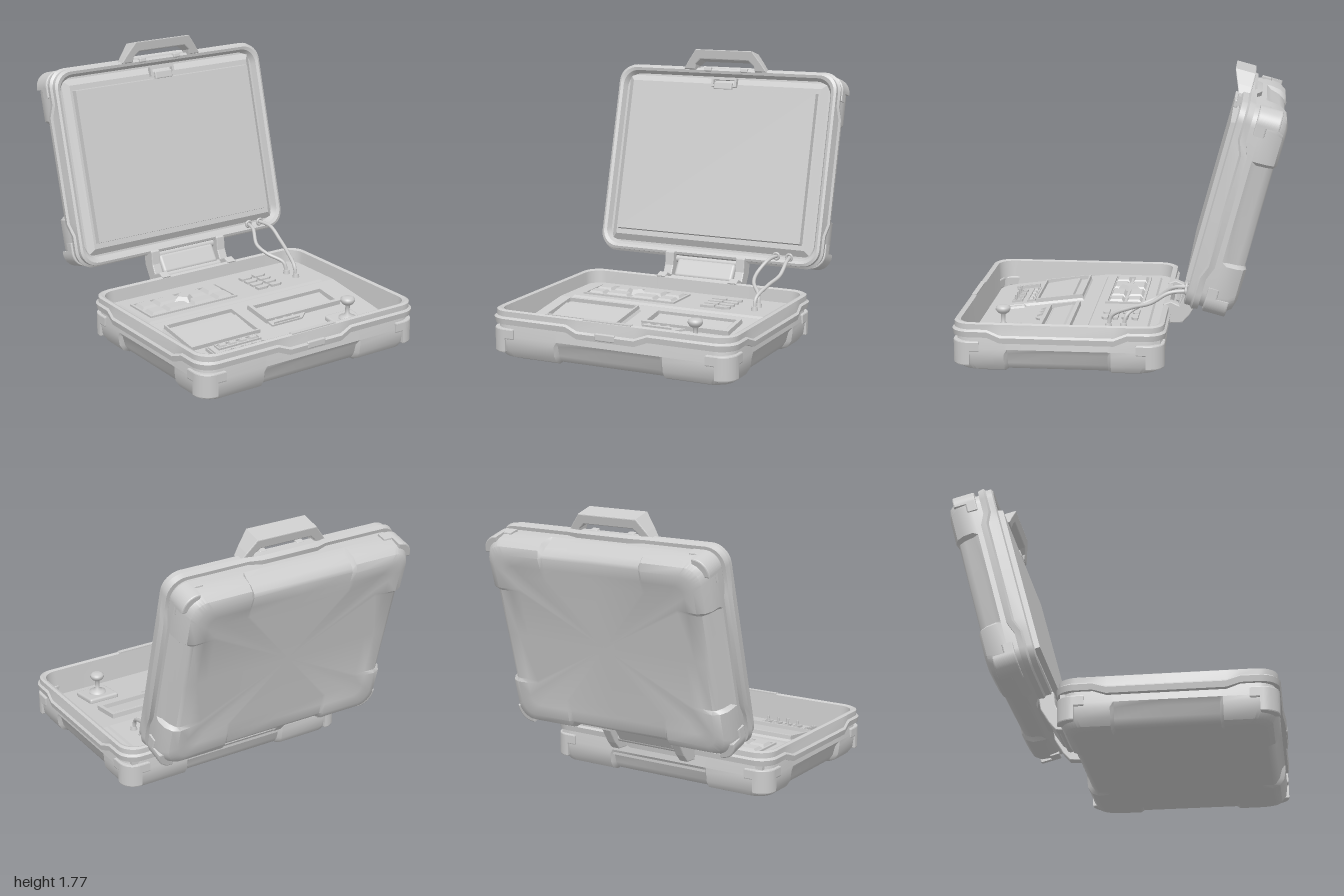
import * as THREE from 'three';
import { toCreasedNormals } from 'three/addons/utils/BufferGeometryUtils.js';
import { RoundedBoxGeometry } from 'three/addons/geometries/RoundedBoxGeometry.js';

const grey = new THREE.MeshStandardMaterial({ color: 0xcccccc, side: THREE.DoubleSide });

function add(parent, name, geo, x = 0, y = 0, z = 0) {
  const m = new THREE.Mesh(geo, grey);
  m.name = name;
  m.position.set(x, y, z);
  parent.add(m);
  return m;
}

// Rounded rectangle whose side middles may step inward (cut) or shift in height (lift)
function ring(hx, hz, r, y, cut, lift, mx, mz, step) {
  const q = [[hx - cut, 0, lift], [hx - cut, mz, lift], [hx, mz + step, 0]];
  for (let i = 0; i <= 8; i++) {
    const a = (i / 8) * Math.PI / 2;
    q.push([hx - r + r * Math.cos(a), hz - r + r * Math.sin(a), 0]);
  }
  q.push([mx + step, hz, 0], [mx, hz - cut, lift], [0, hz - cut, lift]);
  const out = [];
  [[1, 1], [-1, 1], [-1, -1], [1, -1]].forEach(([sx, sz]) => {
    const pts = sx * sz > 0 ? q : [...q].reverse();
    pts.slice(0, -1).forEach(([x, z, l]) => out.push([sx * x, y + l, sz * z]));
  });
  return out;
}

// Skin over rings, closed at the first ring (bottom) or at the last (floor)
function loft(rings, closeFirst) {
  const n = rings[0].length, pos = rings.flat(2), idx = [];
  for (let i = 0; i < rings.length - 1; i++) {
    for (let j = 0; j < n; j++) {
      const a = i * n + j, b = i * n + (j + 1) % n;
      idx.push(a, a + n, b, b, a + n, b + n);
    }
  }
  const c = rings.length * n, last = c - n;
  pos.push(0, (closeFirst ? rings[0] : rings.at(-1))[0][1], 0);
  for (let j = 0; j < n; j++) {
    const k = (j + 1) % n;
    if (closeFirst) idx.push(c, j, k);
    else idx.push(c, last + k, last + j);
  }
  const g = new THREE.BufferGeometry();
  g.setAttribute('position', new THREE.Float32BufferAttribute(pos, 3));
  g.setIndex(idx);
  return toCreasedNormals(g, 0.6);
}

// Box standing on y = 0 with a smaller top
function pad(w, h, d, taper = 0.01) {
  const g = new THREE.BoxGeometry(w, h, d).translate(0, h / 2, 0), p = g.attributes.position;
  for (let i = 0; i < p.count; i++) {
    if (p.getY(i) > h / 2) {
      p.setX(i, p.getX(i) - Math.sign(p.getX(i)) * taper);
      p.setZ(i, p.getZ(i) - Math.sign(p.getZ(i)) * taper);
    }
  }
  g.computeVertexNormals();
  return g;
}

const poly = (pts) => new THREE.Shape(pts.map(([x, y]) => new THREE.Vector2(x, y)));

// Flat outline in x and z, standing on y = 0
function slab(shape, h, bevel = 0) {
  return new THREE.ExtrudeGeometry(shape, {
    depth: h, bevelEnabled: bevel > 0, bevelSize: bevel, bevelThickness: bevel, bevelSegments: 2,
  }).rotateX(Math.PI / 2).translate(0, h, 0);
}

function frame(w, d, t, h) {
  const rect = (a, b) => [[-a, -b], [a, -b], [a, b], [-a, b]];
  const s = poly(rect(w / 2, d / 2));
  s.holes.push(poly(rect(w / 2 - t, d / 2 - t)));
  return slab(s, h);
}

// Half of the case: moulded shell, stepped rim with inner floor, and corner guards
function caseHalf(name, HX, HZ, rimY, floorY) {
  const g = new THREE.Group();
  g.name = name;
  const build = (rows, closeFirst, ...middle) => loft(rows.map(([inset, y, cut, lift]) =>
    ring(HX - inset, HZ - inset, Math.max(0.11 - inset * 0.3, 0.04), y, cut, lift, ...middle)), closeFirst);
  add(g, 'shell', build([
    [0.22, 0.018, 0, 0], [0.15, 0.006, 0, 0.01], [0.08, 0, 0, 0.014], [0.035, 0.018, 0.025, 0.005],
    [0.008, 0.06, 0.028, 0], [0, 0.12, 0.02, 0], [0, 0.15, 0, 0], [0.012, rimY + 0.01, 0, 0],
  ], true, 0.34, 0.3, 0.02));
  add(g, 'rim', build([
    [0.03, 0, -0.012, -0.03], [-0.012, 0, -0.012, -0.03], [-0.018, 0.035, -0.012, -0.03],
    [-0.005, 0.047, -0.012, -0.03], [-0.005, 0.08, 0, 0], [0.01, 0.088, 0, 0],
    [0.028, 0.08, 0, 0], [0.045, floorY - rimY, 0, 0],
  ].map(([i, y, c, l]) => [i, y + rimY, c, l]), false, 0.19, 0.34, 0.08));
  const X = HX + 0.002, Z = HZ + 0.002, r = 0.09;
  const guard = (L, h) => {
    const s = new THREE.Shape();
    s.moveTo(X - L, Z - 0.035);
    s.lineTo(X - L, Z);
    s.lineTo(X - r, Z);
    s.absarc(X - r, Z - r, r, Math.PI / 2, 0, true);
    s.lineTo(X, Z - L);
    s.lineTo(X - 0.035, Z - L);
    s.lineTo(X - 0.06, Z - 0.06);
    return slab(s, h, 0.008);
  };
  for (const sx of [1, -1]) for (const sz of [1, -1]) {
    const c = new THREE.Group();
    c.name = 'cornerGuard';
    c.scale.set(sx, 1, sz);
    add(c, 'guardBar', guard(0.15, 0.05), 0, rimY - 0.085);
    add(c, 'guardLeg', guard(0.092, rimY - 0.13), 0, 0.055);
    g.add(c);
  }
  return g;
}

// Level rear deck: raised keypad panel with keys, diamond and slanted vents
function rearDeck(g) {
  const K = 0.238;
  add(g, 'deck', pad(1.5, 0.11, 0.47, 0), 0, 0.115, -0.035);
  add(g, 'keypadPanel', pad(1.34, 0.015, 0.38, 0.012), 0, 0.223, 0.005);
  add(g, 'keypadFrame', frame(0.65, 0.25, 0.015, 0.012), -0.295, K, 0.01);
  for (const z of [-0.047, 0.067]) {
    for (const [x, w] of [[-0.54, 0.115], [-0.39, 0.165], [-0.205, 0.165], [-0.05, 0.115]]) {
      add(g, 'key', pad(w, 0.02, 0.1, 0.015), x, K, z);
    }
  }
  add(g, 'diamondKey', pad(0.1, 0.03, 0.1, 0.02), -0.3, K + 0.012, 0.01).rotation.y = Math.PI / 4;
  for (let r = 0; r < 4; r++) for (const x of [0.25, 0.355]) {
    const s = poly([[-0.045, -0.02], [0.045, -0.02], [0.045, 0.005], [0.02, 0.02], [-0.045, 0.02]]);
    add(g, 'ventSlat', slab(s, 0.015), x, K, -0.085 + r * 0.062);
  }
}

// Front panel, level here and tilted by its parent
function frontPanel(g) {
  add(g, 'panelPlate', pad(1.5, 0.03, 0.73, 0), 0, -0.03, 0.565);
  // Left instrument with display, buttons and switches
  add(g, 'instrumentPlate', pad(0.52, 0.015, 0.5), -0.38, 0, 0.54);
  add(g, 'displayFrame', frame(0.5, 0.31, 0.012, 0.025), -0.38, 0.015, 0.45);
  add(g, 'display', pad(0.47, 0.02, 0.24, 0.005), -0.38, 0.004, 0.48).rotation.x = 0.06;
  add(g, 'sidePlate', pad(0.16, 0.012, 0.14), -0.165, 0, 0.74);
  add(g, 'buttonFrame', frame(0.31, 0.055, 0.008, 0.012), -0.325, 0.015, 0.645);
  for (let i = 0; i < 4; i++) {
    const x = -0.435 + i * 0.074;
    add(g, 'button', pad(0.055, 0.018, 0.032, 0.006), x, 0.015, 0.645);
    add(g, 'switchFrame', frame(0.045, 0.07, 0.008, 0.014), x, 0.015, 0.74);
    add(g, 'switchLever', new THREE.CylinderGeometry(0.009, 0.006, 0.05, 10), x, 0.035, 0.745);
  }
  add(g, 'cardSlot', frame(0.025, 0.16, 0.007, 0.02), -0.54, 0.015, 0.715);
  // Right display with angled strip below
  add(g, 'rightDisplayFrame', frame(0.58, 0.21, 0.025, 0.03), 0.28, 0, 0.4);
  add(g, 'rightDisplay', pad(0.53, 0.02, 0.16, 0.02), 0.28, -0.004, 0.4).rotation.x = 0.08;
  add(g, 'angledStrip', slab(poly([[0, 0], [0.29, 0], [0.23, 0.05], [0, 0.05]]), 0.012), 0, 0, 0.505);
  for (let i = 0; i < 3; i++) {
    add(g, 'triangleKey', slab(poly([[0, 0.038], [0.07, 0.038], [0.035, 0]]), 0.012), 0.015 + i * 0.065, 0.012, 0.51);
  }
  // Joystick
  add(g, 'joystickPlate', new RoundedBoxGeometry(0.21, 0.04, 0.21, 2, 0.015), 0.455, 0.01, 0.725);
  const stick = [[0.055, 0], [0.055, 0.015], [0.035, 0.022], [0.014, 0.04], [0.014, 0.09], [0.036, 0.105],
    [0.046, 0.122], [0.044, 0.137], [0.03, 0.146], [0, 0.148]].map(([x, y]) => new THREE.Vector2(x, y));
  add(g, 'joystick', new THREE.LatheGeometry(stick, 28), 0.455, 0.027, 0.72).rotation.x = -0.13;
}

export function createModel() {
  const model = new THREE.Group();
  model.name = 'fieldConsole';

  const base = caseHalf('base', 0.79, 0.625, 0.225, 0.115);
  base.position.z = 0.343;
  model.add(base);
  add(model, 'frontCatch', new RoundedBoxGeometry(0.13, 0.045, 0.03, 2, 0.008), 0, 0.225, 0.985);
  add(model, 'catchLip', new THREE.BoxGeometry(0.32, 0.012, 0.03), 0, 0.308, 0.955);
  rearDeck(model);

  // Control panel slopes down towards the front edge
  const slope = new THREE.Group(), panel = new THREE.Group();
  slope.name = 'slopedPanel';
  panel.name = 'controls';
  slope.position.set(0, 0.225, 0.2);
  slope.rotation.x = 0.13;
  panel.position.z = -0.2;
  frontPanel(panel);
  slope.add(panel);
  model.add(slope);

  // Lid: lies like the base, then swings open
  const lid = caseHalf('lid', 0.78, 0.622, 0.213, 0.258);
  lid.position.set(0, 0.963, -0.851);
  lid.rotation.x = THREE.MathUtils.degToRad(75);
  model.add(lid);
  add(lid, 'screenBezel', pad(1.44, 0.032, 1.13, 0.04), 0, 0.258, 0);
  add(lid, 'screen', pad(1.33, 0.04, 0.985, 0.006), 0, 0.285, 0);
  add(lid, 'lidLatch', frame(0.18, 0.06, 0.015, 0.03), 0, 0.285, -0.535);
  add(lid, 'latchHook', new RoundedBoxGeometry(0.13, 0.025, 0.05, 2, 0.008), 0, 0.315, -0.51);
  for (const x of [-0.13, 0.13]) {
    add(lid, 'handleLug', new RoundedBoxGeometry(0.05, 0.04, 0.03, 2, 0.008), x, 0.29, -0.62);
  }
  const grip = poly([[-0.29, -0.62], [-0.26, -0.66], [-0.2, -0.735], [0.2, -0.735], [0.26, -0.66], [0.29, -0.62],
    [0.22, -0.62], [0.215, -0.65], [0.175, -0.685], [-0.175, -0.685], [-0.215, -0.65], [-0.22, -0.62]]);
  const handle = slab(grip, 0.115, 0.006), hp = handle.attributes.position;
  for (let i = 0; i < hp.count; i++) {
    if (hp.getY(i) > 0.06) hp.setY(i, hp.getY(i) - (hp.getZ(i) + 0.735) * 0.45);
  }
  handle.computeVertexNormals();
  add(lid, 'handle', handle, 0, 0.255, 0.002);

  // Hinge arms and central hinge block, profiles in z and y
  const arm = poly([[-0.26, 0.31], [-0.3, 0.325], [-0.355, 0.3], [-0.385, 0.36], [-0.395, 0.44], [-0.43, 0.46],
    [-0.475, 0.4], [-0.465, 0.34], [-0.41, 0.25], [-0.37, 0.205], [-0.3, 0.2]]);
  for (const x of [-0.255, 0.255]) {
    const geo = new THREE.ExtrudeGeometry(arm, { depth: 0.05, bevelSize: 0.006, bevelThickness: 0.006, bevelSegments: 2 });
    add(model, 'hingeArm', geo.translate(0, 0, -0.025).rotateY(-Math.PI / 2), x);
  }
  add(model, 'hingeBlock', new RoundedBoxGeometry(0.42, 0.13, 0.06, 3, 0.02), 0, 0.335, -0.41).rotation.x = -0.6;
  for (const [y, z] of [[0.275, -0.365], [0.395, -0.45]]) {
    add(model, 'hingePin', new THREE.CylinderGeometry(0.026, 0.026, 0.46, 20).rotateZ(Math.PI / 2), 0, y, z);
  }

  // Cables from the panel to the lid, with sockets
  const paths = [
    [[0.54, 0.24, -0.03], [0.53, 0.31, -0.05], [0.46, 0.36, -0.14], [0.44, 0.4, -0.23], [0.48, 0.475, -0.33], [0.5, 0.485, -0.43]],
    [[0.55, 0.24, 0.06], [0.55, 0.31, 0.04], [0.58, 0.37, -0.08], [0.61, 0.41, -0.2], [0.61, 0.475, -0.31], [0.59, 0.485, -0.43]],
  ];
  for (const p of paths) {
    const curve = new THREE.CatmullRomCurve3(p.map((v) => new THREE.Vector3(...v)));
    add(model, 'cable', new THREE.TubeGeometry(curve, 40, 0.012, 10));
    add(model, 'panelSocket', new THREE.CylinderGeometry(0.018, 0.024, 0.03, 16), p[0][0], 0.248, p[0][2]);
    add(model, 'lidSocket', new THREE.TorusGeometry(0.02, 0.008, 8, 18), p[5][0], 0.485, -0.41);
  }
  return model;
}
